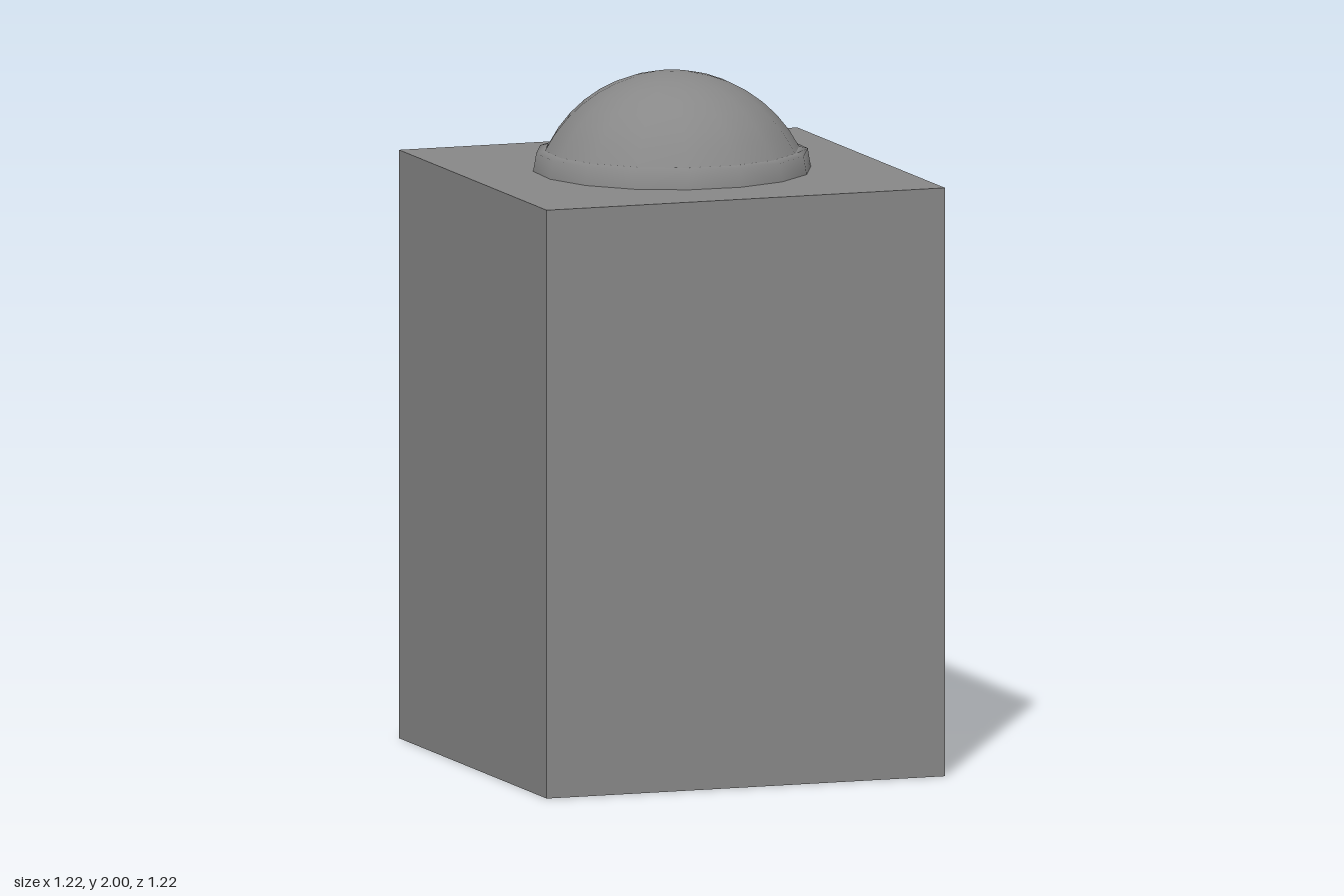
import * as THREE from 'three';

const SIDES = 16;
const TURN = THREE.MathUtils.degToRad(9); // slight twist of the round parts
const HALF = 0.612;
const TOP = 1.715;
const RIM = 0.369; // radius where the dome meets the collar

const material = new THREE.MeshStandardMaterial({ color: 0x888888, side: THREE.DoubleSide });

function addPart(group, name, geometry) {
  const mesh = new THREE.Mesh(geometry, material);
  mesh.name = name;
  group.add(mesh);
}

function lathe(points) {
  const profile = points.map(([r, y]) => new THREE.Vector2(r, y));
  return new THREE.LatheGeometry(profile, SIDES, TURN);
}

export function createModel() {
  const model = new THREE.Group();
  model.name = 'domedPillar';

  // Pillar: four thin walls and a top, open underneath
  for (let i = 0; i < 4; i++) {
    const wall = new THREE.PlaneGeometry(2 * HALF, TOP);
    wall.translate(0, TOP / 2, HALF);
    wall.rotateY((i * Math.PI) / 2);
    addPart(model, 'wall', wall);
  }
  const top = new THREE.PlaneGeometry(2 * HALF, 2 * HALF);
  top.rotateX(-Math.PI / 2);
  top.translate(0, TOP, 0);
  addPart(model, 'topPanel', top);

  // Collar: tapered band running smoothly into a narrow ledge
  addPart(model, 'collar', lathe([[0.403, TOP], [0.394, 1.768], [RIM, 1.774]]));

  // Dome: spherical cap rising from the ledge
  const radius = 0.414;
  const rimAngle = Math.asin(RIM / radius);
  const cap = [];
  for (let i = 0; i <= 8; i++) {
    const a = rimAngle * (1 - i / 8);
    cap.push([radius * Math.sin(a), 2 - radius + radius * Math.cos(a)]);
  }
  addPart(model, 'dome', lathe(cap));

  return model;
}
